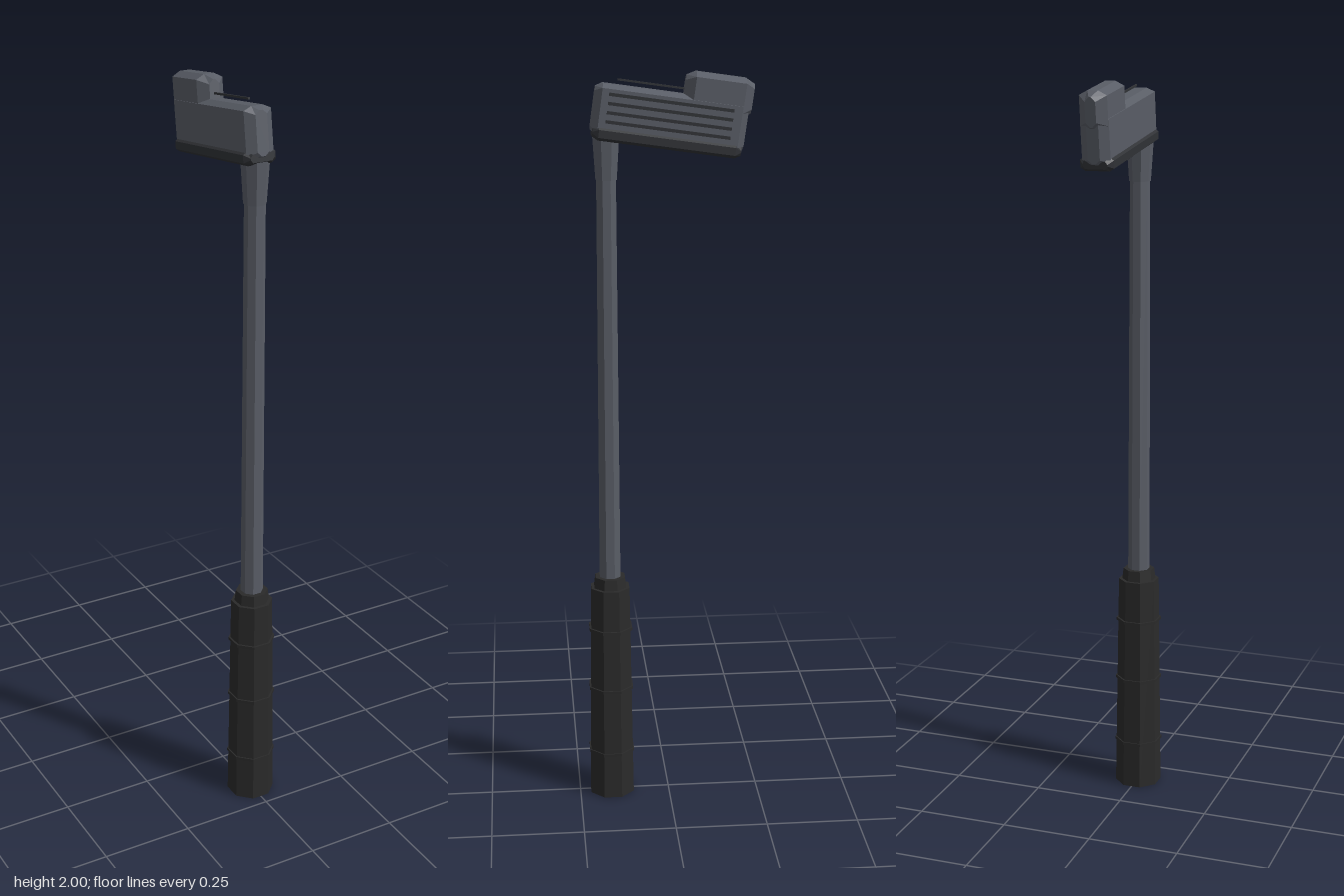
import * as THREE from 'three';

export function createModel() {
  const mat = (name, color) => {
    const m = new THREE.MeshStandardMaterial({ color, flatShading: true });
    m.name = name;
    return m;
  };
  const steel = mat('steel grey', 0x595d66);
  const rubber = mat('rubber black', 0x2a2a2a);
  const dark = mat('dark metal', 0x303236);

  const model = new THREE.Group();
  model.name = 'putter';
  const add = (parent, name, geometry, material) => {
    const mesh = new THREE.Mesh(geometry, material);
    mesh.name = name;
    parent.add(mesh);
    return mesh;
  };

  // Upright octagonal section, sized by its half width across the flats
  const axisZ = 0.16;
  const section = (name, material, y0, y1, a0, a1 = a0) => {
    const k = 1 / Math.cos(Math.PI / 8);
    const g = new THREE.CylinderGeometry(a1 * k, a0 * k, y1 - y0, 8).rotateY(Math.PI / 8);
    add(model, name, g, material).position.set(0, (y0 + y1) / 2, axisZ);
  };

  // Block along z with eight-sided cross-section and tapered ends
  const block = (w, y0, y1, z0, z1, cx, cy, cz) => {
    const rings = [[z0, 1], [z0 + cz, 0], [z1 - cz, 0], [z1, 1]];
    const pos = [], idx = [];
    for (const [z, end] of rings) {
      const W = w - end * cx, lo = y0 + end * cy, hi = y1 - end * cy;
      const ix = cx * (end ? 0.5 : 1);
      const loop = [[W, lo + cy], [W, hi - cy], [W - ix, hi], [ix - W, hi],
        [-W, hi - cy], [-W, lo + cy], [ix - W, lo], [W - ix, lo]];
      for (const [x, y] of loop) pos.push(x, y, z);
    }
    for (let r = 0; r < 3; r++) {
      for (let i = 0; i < 8; i++) {
        const a = r * 8 + i, b = r * 8 + (i + 1) % 8;
        idx.push(a, b, b + 8, a, b + 8, a + 8);
      }
    }
    for (let i = 1; i < 7; i++) idx.push(0, i + 1, i, 24, 24 + i, 25 + i);
    const g = new THREE.BufferGeometry();
    g.setAttribute('position', new THREE.Float32BufferAttribute(pos, 3));
    g.setIndex(idx);
    g.computeVertexNormals();
    return g;
  };

  // Grip with its rings and collar
  section('grip', rubber, 0, 0.615, 0.06, 0.052);
  section('gripCollar', rubber, 0.61, 0.645, 0.044, 0.04);
  for (const y of [0.13, 0.32, 0.495]) {
    const r = 0.0625 - y * 0.008;
    section('gripRing', rubber, y - 0.004, y + 0.004, r);
  }

  // Shaft and the flared neck into the head
  section('shaft', steel, 0.64, 1.74, 0.028, 0.025);
  section('neck', steel, 1.73, 1.86, 0.027, 0.035);

  // Tilted head
  const head = new THREE.Group();
  head.name = 'head';
  head.position.y = 1.88;
  head.rotation.x = -0.14;
  model.add(head);
  add(head, 'headBody', block(0.038, -0.06, 0.07, -0.2, 0.196, 0.022, 0.01, 0.018), steel);
  add(head, 'rearBlock', block(0.037, 0.03, 0.13, -0.207, -0.03, 0.023, 0.012, 0.024), steel);
  add(head, 'sole', block(0.045, -0.072, -0.036, -0.194, 0.19, 0.012, 0.008, 0.016), dark);

  // Thin sight bar above the head
  add(head, 'sightBar', new THREE.BoxGeometry(0.005, 0.005, 0.18), dark)
    .position.set(0, 0.083, 0.051);

  // Ridged lines on the striking face
  for (let i = 0; i < 4; i++) {
    add(head, 'faceLine', new THREE.BoxGeometry(0.006, 0.008, 0.32), dark)
      .position.set(0.039, -0.022 + i * 0.023, 0);
  }

  return model;
}
